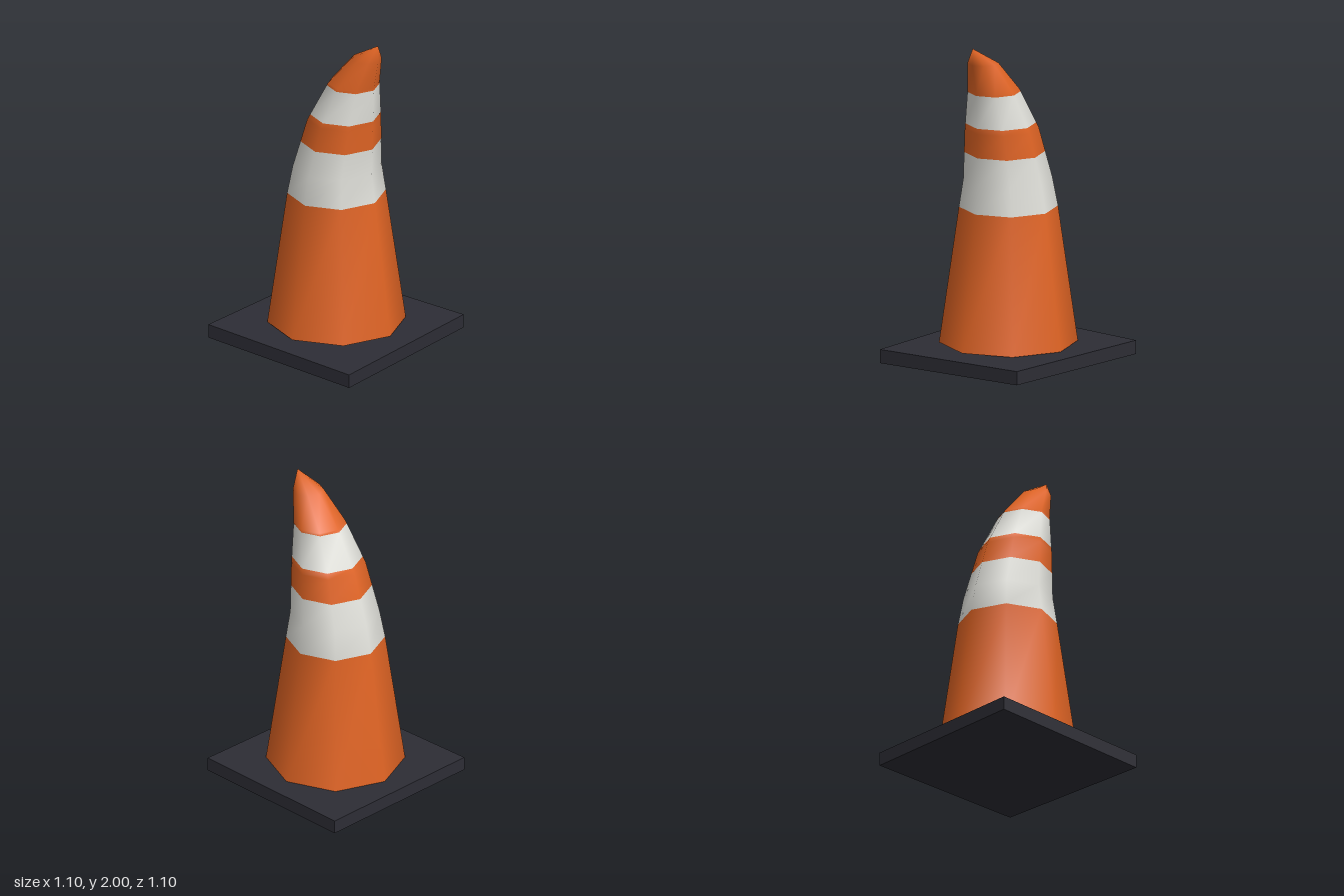
import * as THREE from 'three';

const SIDES = 8;

// Cone spine: height, sideways lean, radius
const PROFILE = [
  [0.125, 0, 0.42], [0.965, 0, 0.3], [1.14, 0.005, 0.27], [1.46, 0.06, 0.224],
  [1.715, 0.135, 0.157], [1.895, 0.232, 0.094], [2, 0.324, 0],
];

// Heights where the colour changes, from orange to white and back
const BANDS = [0.965, 1.31, 1.495, 1.7];

function sectionAt(y) {
  const i = Math.max(1, PROFILE.findIndex((p) => p[0] >= y));
  const [a, b] = [PROFILE[i - 1], PROFILE[i]];
  const t = (y - a[0]) / (b[0] - a[0]);
  return { y, x: a[1] + (b[1] - a[1]) * t, r: a[2] + (b[2] - a[2]) * t };
}

function bentConeGeometry() {
  const heights = [...new Set([...PROFILE.map((p) => p[0]), ...BANDS])].sort((a, b) => a - b);
  const rings = heights.slice(0, -1).map(sectionAt);
  const tip = sectionAt(heights[heights.length - 1]);
  const points = [];
  const index = [];
  const geometry = new THREE.BufferGeometry();

  for (const { x, y, r } of rings) {
    for (let s = 0; s < SIDES; s++) {
      const a = (s / SIDES) * Math.PI * 2;
      points.push(x + r * Math.cos(a), y, r * Math.sin(a));
    }
  }
  const apex = points.length / 3;
  points.push(tip.x, tip.y, 0);

  rings.forEach((ring, i) => {
    const start = index.length;
    for (let s = 0; s < SIDES; s++) {
      const n = (s + 1) % SIDES;
      const a = i * SIDES + s;
      const b = i * SIDES + n;
      if (i === rings.length - 1) index.push(a, apex, b);
      else index.push(a, a + SIDES, b, b, a + SIDES, b + SIDES);
    }
    const stripe = BANDS.filter((h) => h <= ring.y).length % 2;
    geometry.addGroup(start, index.length - start, stripe);
  });

  geometry.setAttribute('position', new THREE.Float32BufferAttribute(points, 3));
  geometry.setIndex(index);
  geometry.computeVertexNormals();
  return geometry;
}

// Square slab with its front left corner sagging
function baseGeometry() {
  const geometry = new THREE.BoxGeometry(1.1, 0.085, 1.1);
  geometry.translate(0, 0.0795, 0);
  const p = geometry.attributes.position;
  for (let i = 0; i < p.count; i++) {
    if (p.getX(i) > 0 && p.getZ(i) > 0) p.setY(i, p.getY(i) - 0.037);
    if (p.getZ(i) < 0) p.setX(i, p.getX(i) * 0.985);
  }
  geometry.computeVertexNormals();
  return geometry;
}

export function createModel() {
  const material = (name, color) => {
    const m = new THREE.MeshStandardMaterial({ color });
    m.name = name;
    return m;
  };
  const orange = material('orange', 0xe06424);
  const white = material('white', 0xe0e0da);
  const dark = material('darkRubber', 0x2d2d35);

  const model = new THREE.Group();
  model.name = 'trafficCone';

  const base = new THREE.Mesh(baseGeometry(), dark);
  base.name = 'base';

  const cone = new THREE.Mesh(bentConeGeometry(), [orange, white]);
  cone.name = 'stripedCone';

  model.add(base, cone);
  return model;
}
